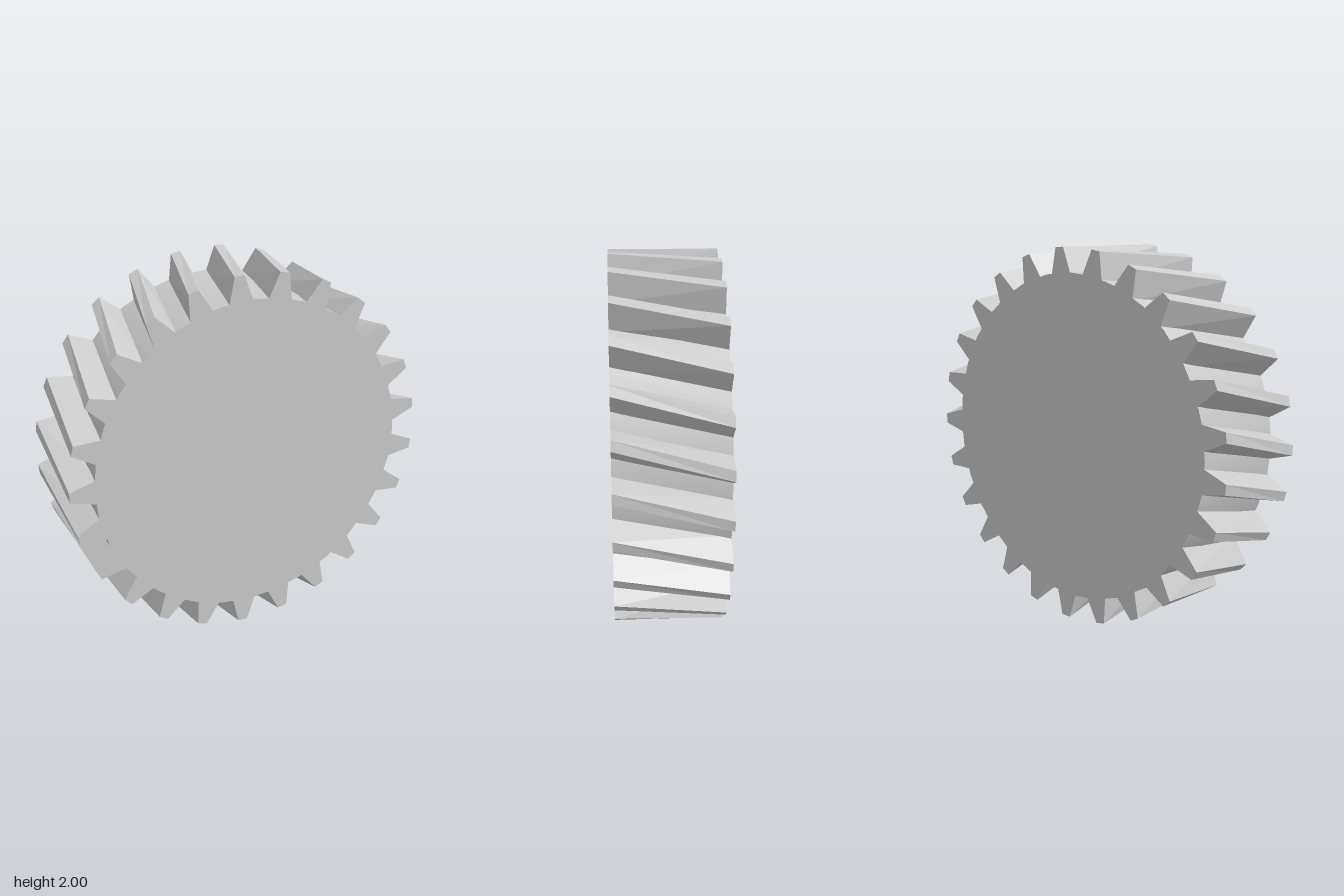
import * as THREE from 'three';

const TEETH = 25;
const DEPTH = 0.575;
const HUB_R = 0.87;
const TIP_R = 1.0;
const TWIST = THREE.MathUtils.degToRad(8.8); // total turn from back to front

// Tapered tooth: a box narrowed at the tip and turned about the gear axis along z
function toothGeometry() {
  const g = new THREE.BoxGeometry(1, 1, DEPTH);
  const p = g.attributes.position;
  for (let i = 0; i < p.count; i++) {
    const tip = p.getY(i) > 0;
    const x = Math.sign(p.getX(i)) * (tip ? 0.027 : 0.069);
    const y = tip ? TIP_R : 0.85;
    const a = (p.getZ(i) / DEPTH) * TWIST;
    p.setXY(i, x * Math.cos(a) - y * Math.sin(a), x * Math.sin(a) + y * Math.cos(a));
  }
  g.computeVertexNormals();
  return g;
}

export function createModel() {
  const gear = new THREE.Group();
  gear.name = 'helicalGear';

  // Solid round body
  const hub = new THREE.Mesh(
    new THREE.CylinderGeometry(HUB_R, HUB_R, DEPTH, 32).rotateX(Math.PI / 2),
    new THREE.MeshStandardMaterial({ color: 0xcccccc })
  );
  hub.name = 'gearBody';
  gear.add(hub);

  // Ring of slanted teeth
  const teeth = new THREE.Group();
  teeth.name = 'teeth';
  const geometry = toothGeometry();
  const material = new THREE.MeshStandardMaterial({ color: 0xcccccc, flatShading: true });
  for (let i = 0; i < TEETH; i++) {
    const tooth = new THREE.Mesh(geometry, material);
    tooth.name = 'tooth';
    tooth.rotation.z = (i / TEETH) * Math.PI * 2;
    teeth.add(tooth);
  }
  gear.add(teeth);

  gear.position.y = TIP_R;
  const model = new THREE.Group();
  model.name = 'gearModel';
  model.add(gear);
  return model;
}
